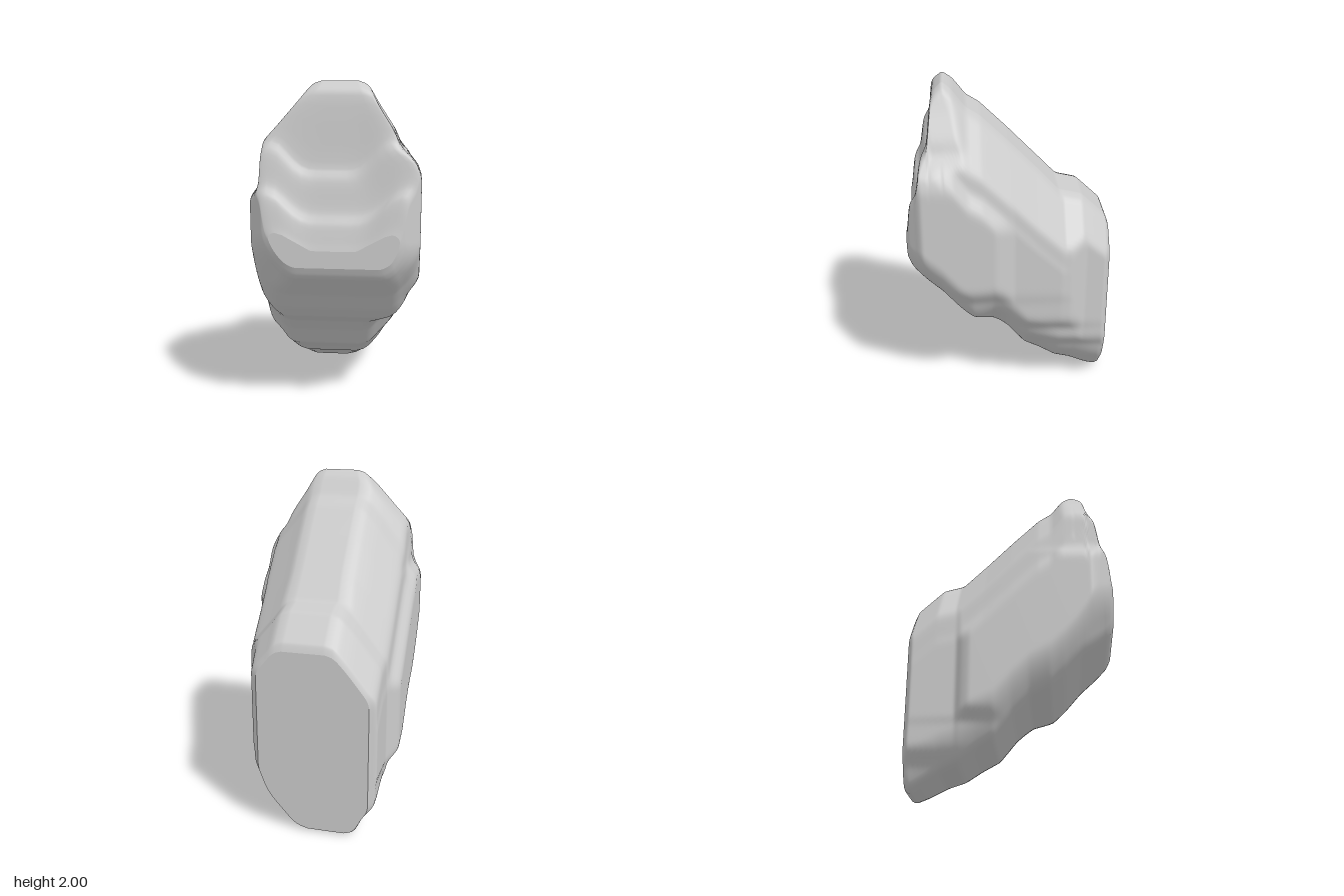
import * as THREE from 'three';

// Piecewise-linear lookup through [position, value] pairs
function lookup(table, t) {
  if (t <= table[0][0]) return table[0][1];
  for (let i = 1; i < table.length; i++) {
    const [t0, v0] = table[i - 1], [t1, v1] = table[i];
    if (t <= t1) return v0 + (v1 - v0) * (t - t0) / (t1 - t0);
  }
  return table[table.length - 1][1];
}

// The same lookup with its corners rounded
function smoothLookup(table, t, h) {
  let sum = 0;
  for (let i = -2; i <= 2; i++) sum += lookup(table, t + i * h / 2) * (3 - Math.abs(i));
  return sum / 9;
}

// Minimum with a rounded transition
function softMin(a, b, k) {
  const h = Math.max(k - Math.abs(a - b), 0) / k;
  return Math.min(a, b) - h * h * k / 4;
}

// Upper and lower edge of the leaning rock, by z
const TOP = [[-0.595, 1.12], [-0.585, 1.17], [-0.5, 1.25], [-0.43, 1.315], [-0.3, 1.345], [-0.2, 1.45], [0, 1.655],
  [0.16, 1.81], [0.24, 1.86], [0.32, 1.965], [0.37, 2.005], [0.42, 1.96], [0.44, 1.92], [0.458, 1.71], [0.505, 1.62],
  [0.525, 1.46], [0.572, 1.37], [0.587, 1.22], [0.595, 1.17]];
const BOTTOM = [[-0.595, 0.02], [-0.57, 0], [-0.5, 0.04], [-0.4, 0.1], [-0.3, 0.14], [-0.2, 0.21], [-0.1, 0.27],
  [0, 0.4], [0.1, 0.5], [0.22, 0.57], [0.3, 0.65], [0.4, 0.77], [0.56, 0.92], [0.585, 0.96], [0.595, 1]];

// Stepped flanks: width limits by height, by depth and by distance below the
// ridge; underside is the half-width at the lower edge, by depth
const LEFT = {
  byY: [[0, 0.03], [0.06, 0.15], [0.2, 0.25], [0.33, 0.275], [0.42, 0.335], [0.5, 0.34], [0.6, 0.41], [0.74, 0.42],
    [0.85, 0.49], [1.48, 0.49], [1.57, 0.45], [1.65, 0.36], [1.73, 0.33], [1.87, 0.24], [2, 0.17]],
  byZ: [[-0.595, 0.29], [-0.57, 0.33], [-0.45, 0.34], [-0.36, 0.4], [-0.3, 0.415], [-0.02, 0.42], [0.03, 0.45],
    [0.09, 0.49], [0.5, 0.49], [0.54, 0.44], [0.585, 0.39], [0.595, 0.36]],
  byRidge: [[0, 0.18], [0.1, 0.26], [0.28, 0.41], [0.4, 0.42], [0.5, 0.5], [1, 0.7]],
  underside: [[-0.6, 0.05], [-0.3, 0.12], [0.05, 0.17], [0.22, 0.32], [0.5, 0.33], [0.59, 0.29]],
};
const RIGHT = {
  byY: [[0, 0.28], [0.03, 0.3], [0.13, 0.33], [0.22, 0.41], [0.36, 0.42], [0.42, 0.49], [1.35, 0.49], [1.43, 0.42],
    [1.67, 0.405], [1.75, 0.33], [1.9, 0.2], [2, 0.12]],
  byZ: [[-0.595, 0.36], [-0.57, 0.41], [-0.31, 0.415], [-0.28, 0.45], [-0.23, 0.49], [0.47, 0.49], [0.53, 0.44],
    [0.585, 0.39], [0.595, 0.36]],
  byRidge: [[0, 0.15], [0.1, 0.24], [0.32, 0.41], [0.48, 0.42], [0.58, 0.5], [1, 0.7]],
  underside: [[-0.6, 0.28], [-0.3, 0.31], [0, 0.35], [0.4, 0.36], [0.56, 0.25]],
};

function halfWidth(side, y, z, bottom, top) {
  const ridge = Math.max(1.64 + 0.93 * z, top);
  const underside = smoothLookup(side.underside, z, 0.05);
  let w = softMin(smoothLookup(side.byY, y, 0.03), smoothLookup(side.byZ, z, 0.012), 0.04);
  w = softMin(w, smoothLookup(side.byRidge, ridge - y, 0.04), 0.03);
  w = softMin(w, underside + 0.9 * (y - bottom), 0.08);
  // round over the upper and lower rims
  const r = 0.045;
  const d = 1 - Math.min(1, Math.min(y - bottom, top - y) / r);
  return w - r * (1 - Math.sqrt(Math.max(0, 1 - d * d)));
}

// One closed outline at depth z, counter-clockwise from the front
function section(z) {
  const bottom = smoothLookup(BOTTOM, z, 0.012), top = smoothLookup(TOP, z, 0.012);
  const N = 60, M = 16;
  const flank = (side, sign) => Array.from({ length: N + 1 }, (_, i) => {
    const t = i / N;
    const y = bottom + (top - bottom) * (0.6 * t + 0.4 * (0.5 - 0.5 * Math.cos(Math.PI * t)));
    return [sign * halfWidth(side, y, z, bottom, top), y, z];
  });
  const left = flank(LEFT, 1), right = flank(RIGHT, -1).reverse();
  const bridge = (a, b, dip) => Array.from({ length: M - 1 }, (_, i) => {
    const t = (i + 1) / M;
    return [a[0] + (b[0] - a[0]) * t, a[1] - dip * THREE.MathUtils.smoothstep(Math.sin(Math.PI * t), 0, 0.9), z];
  });
  // the front ledges sag in the middle
  const sag = 0.16 * THREE.MathUtils.smoothstep(z, 0.435, 0.47) - 0.06 * THREE.MathUtils.smoothstep(z, 0.57, 0.595);
  return [...left, ...bridge(left[N], right[0], sag), ...right, ...bridge(right[N], left[0], 0)];
}

function loftGeometry() {
  const SECTIONS = 150;
  const rings = Array.from({ length: SECTIONS + 1 }, (_, i) => {
    const t = i / SECTIONS;
    return section(0.595 * (0.5 * (2 * t - 1) - 0.5 * Math.cos(Math.PI * t)));
  });
  const n = rings[0].length;
  const positions = rings.flat(2), indices = [];
  for (let i = 0; i < SECTIONS; i++) {
    for (let j = 0; j < n; j++) {
      const k = (j + 1) % n;
      const a = i * n + j, b = i * n + k, c = b + n, d = a + n;
      indices.push(a, b, c, a, c, d);
    }
  }
  // flat end faces with their own vertices
  const cap = (ring, front) => {
    const start = positions.length / 3;
    const ys = ring.map((p) => p[1]);
    positions.push(0, Math.min(...ys) + 0.03, ring[0][2], ...ring.flat());
    for (let j = 0; j < n; j++) {
      const a = start + 1 + j, b = start + 1 + (j + 1) % n;
      indices.push(start, front ? a : b, front ? b : a);
    }
  };
  cap(rings[0], false);
  cap(rings[SECTIONS], true);

  const geometry = new THREE.BufferGeometry();
  geometry.setAttribute('position', new THREE.Float32BufferAttribute(positions, 3));
  geometry.setIndex(indices);
  geometry.computeVertexNormals();
  return geometry;
}

export function createModel() {
  const group = new THREE.Group();
  group.name = 'rock';
  const rock = new THREE.Mesh(loftGeometry(), new THREE.MeshStandardMaterial({ color: 0xcccccc }));
  rock.name = 'leaningBoulder';
  group.add(rock);
  return group;
}
